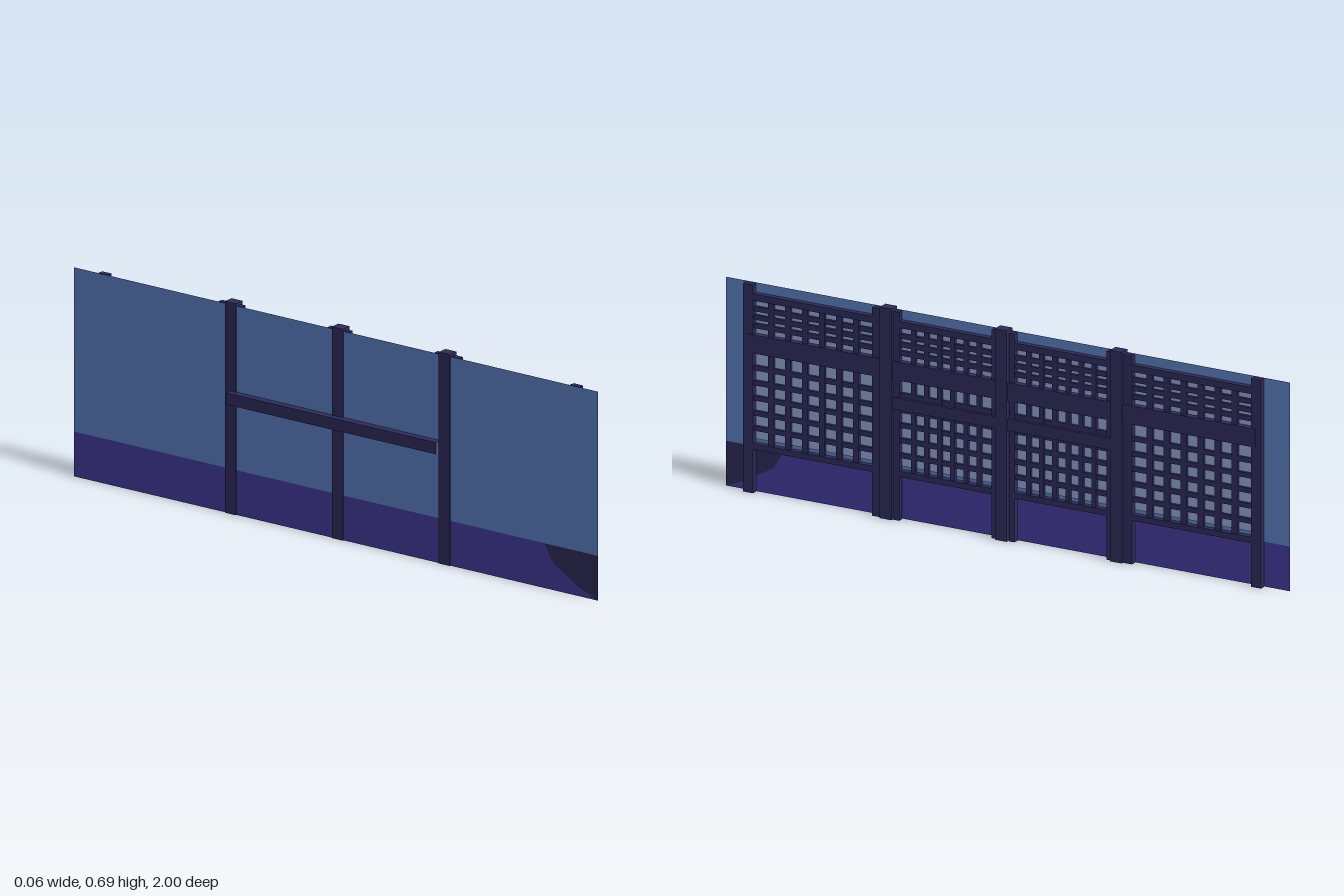
import * as THREE from 'three';

export function createModel() {
  const model = new THREE.Group();
  const mat = (name, color, side = THREE.FrontSide) => {
    const m = new THREE.MeshStandardMaterial({ color, side });
    m.name = name;
    return m;
  };
  const wood = mat('dark timber', 0x302c5e);
  const blue = mat('blue wall', 0x5d82c6, THREE.DoubleSide);
  const purple = mat('purple base', 0x453b9f, THREE.DoubleSide);
  const shade = mat('dark corner', 0x2e2b58, THREE.DoubleSide);
  const paper = mat('pale pane', 0x94a8d6);

  // Box given by its limits along each axis
  const box = (name, x0, x1, y0, y1, z0, z1, parent = model) => {
    const mesh = new THREE.Mesh(new THREE.BoxGeometry(x1 - x0, y1 - y0, z1 - z0), wood);
    mesh.position.set((x0 + x1) / 2, (y0 + y1) / 2, (z0 + z1) / 2);
    mesh.name = name;
    parent.add(mesh);
    return mesh;
  };
  // Flat sheet facing +x, outlined by [z, y] points
  const sheet = (name, x, material, points) => {
    const shape = new THREE.Shape(points.map(([z, y]) => new THREE.Vector2(-z, y)));
    const mesh = new THREE.Mesh(new THREE.ShapeGeometry(shape).rotateY(Math.PI / 2), material);
    mesh.position.x = x;
    mesh.name = name;
    model.add(mesh);
  };

  // Backing wall: blue field, purple base, ragged dark corner
  const wallX = -0.003, baseY = 0.145;
  const edge = [[0.795, baseY], [0.83, 0.085], [0.87, 0.063], [0.925, 0.03], [1, 0]];
  sheet('wallField', wallX, blue, [[1, baseY], [-1, baseY], [-1, 0.677], [1, 0.677]]);
  sheet('wallBase', wallX, purple, [[-1, 0], [-1, baseY], ...edge]);
  sheet('wallCorner', wallX, shade, [...edge, [1, baseY]]);

  // Main posts pass through the wall
  for (const z of [0.416, 0.008, -0.4]) box('mainPost', -0.007, 0.028, 0, 0.685, z - 0.021, z + 0.021);

  // Lattice bays: limits of the opening, with a side post at each end
  const bays = [
    { z0: 0.468, z1: 0.89, near: 0.03, far: 0.036 },
    { z0: 0.046, z1: 0.372, near: 0.019, far: 0.025 },
    { z0: -0.362, z1: -0.036, near: 0.025, far: 0.019 },
    { z0: -0.874, z1: -0.452, near: 0.036, far: 0.03 },
  ];
  for (const { z0, z1, near, far } of bays) {
    const bay = new THREE.Group();
    bay.name = 'latticeBay';
    model.add(bay);
    box('sidePost', 0.002, 0.02, 0, 0.676, z0 - near, z0, bay);
    box('sidePost', 0.002, 0.02, 0, 0.676, z1, z1 + far, bay);
    box('topRail', 0.001, 0.02, 0.625, 0.647, z0, z1, bay);
    box('bottomRail', 0.001, 0.02, 0.142, 0.161, z0, z1, bay);

    // Upright bars
    const pitch = (z1 - z0) / 7;
    const half = z1 - z0 > 0.4 ? 0.01 : 0.008;
    for (let i = 1; i < 7; i++) {
      const z = z0 + i * pitch;
      box('uprightBar', 0.006, 0.016, 0.15, 0.636, z - half, z + half, bay);
    }
    // Cross bars above and below the long beam
    for (const [y0, y1, rows] of [[0.515, 0.625, 4], [0.161, 0.455, 6]]) {
      for (let i = 1; i < rows; i++) {
        const y = y0 + (i * (y1 - y0)) / rows;
        box('crossBar', 0.006, 0.015, y - 0.008, y + 0.008, z0, z1, bay);
      }
    }
    sheet('pane', 0.002, paper, [[z1, 0.172], [z0, 0.172], [z0, 0.63], [z1, 0.63]]);
  }

  // Long beam across all bays
  box('longBeam', -0.002, 0.023, 0.455, 0.515, -0.89, 0.906);

  // Short beam through the wall, open at both ends
  const shortBeam = box('shortBeam', -0.028, 0.025, 0.36, 0.398, -0.4, 0.4);
  const index = shortBeam.geometry.index.array;
  shortBeam.geometry.setIndex(Array.from(index.slice(0, 24)));
  shortBeam.geometry.clearGroups();

  return model;
}
